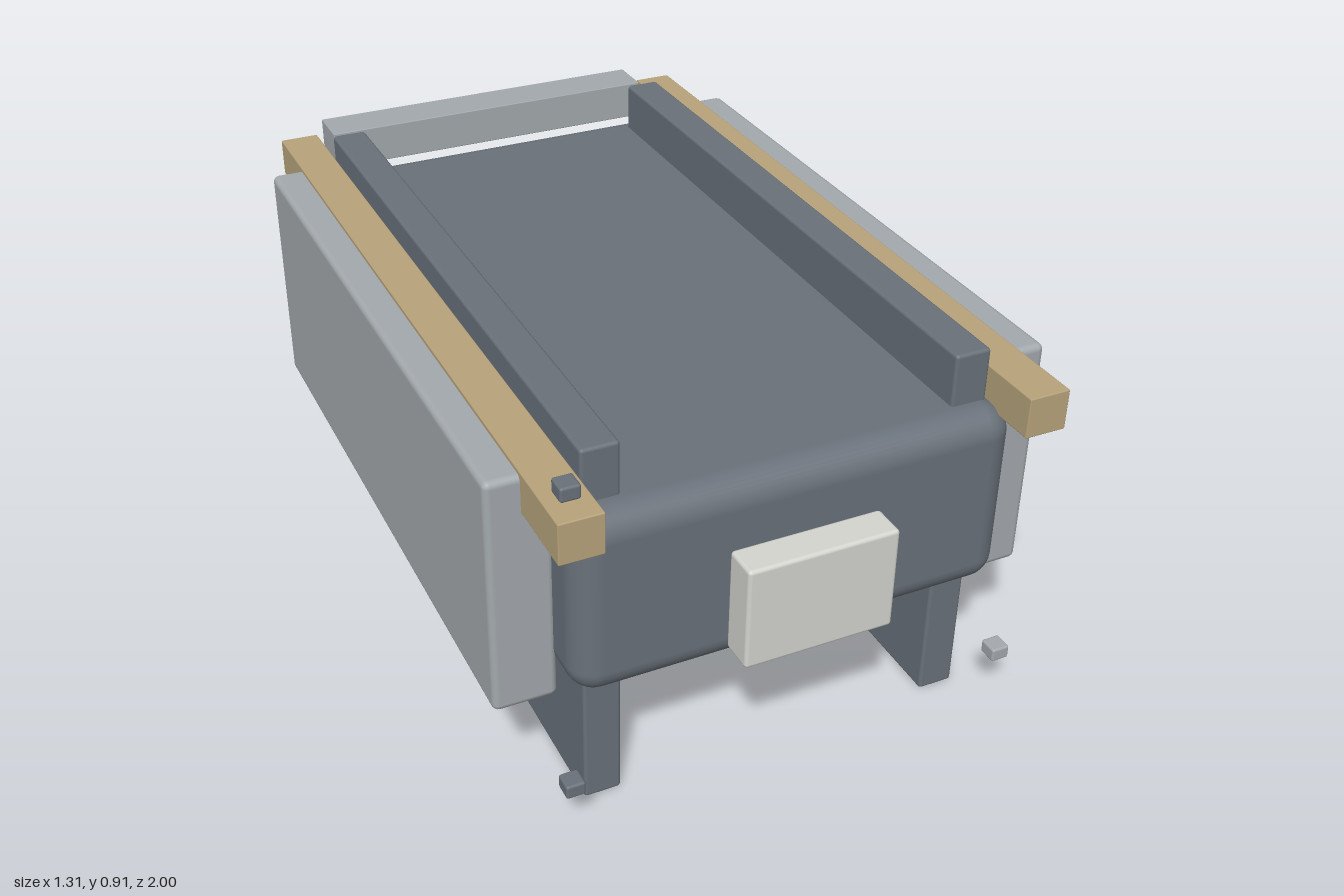
import * as THREE from 'three';
import { RoundedBoxGeometry } from 'three/addons/geometries/RoundedBoxGeometry.js';

const dark = new THREE.MeshStandardMaterial({ color: 0x69717a });
const light = new THREE.MeshStandardMaterial({ color: 0xa3a9ad });
const tan = new THREE.MeshStandardMaterial({ color: 0xb8a47c });
const pale = new THREE.MeshStandardMaterial({ color: 0xd4d5cf });

// Box between two limits on each axis, with optionally rounded edges
function block(name, material, [x0, x1], [y0, y1], [z0, z1], radius = 0, segments = 2) {
  const size = [x1 - x0, y1 - y0, z1 - z0];
  const geometry = radius
    ? new RoundedBoxGeometry(...size, segments, radius)
    : new THREE.BoxGeometry(...size);
  const mesh = new THREE.Mesh(geometry, material);
  mesh.name = name;
  mesh.position.set((x0 + x1) / 2, (y0 + y1) / 2, (z0 + z1) / 2);
  return mesh;
}

export function createModel() {
  const model = new THREE.Group();
  model.name = 'model';

  // Rounded main body
  model.add(block('body', dark, [-0.518, 0.518], [0.335, 0.787], [-0.89, 0.91], 0.065, 4));

  // Paired slabs, side panels and rails
  for (const [side, s] of [['left', 1], ['right', -1]]) {
    const span = (a, b) => (s > 0 ? [a, b] : [-b, -a]);
    model.add(
      block(side + 'Runner', dark, span(0.387, 0.474), [0, 0.912], [-0.82, 0.84], 0.008),
      block(side + 'SidePanel', light, span(0.51, 0.657), [0.27, 0.852], [-0.776, 0.79], 0.016),
      block(side + 'Rail', tan, span(0.481, 0.58), [0.764, 0.861], [-0.965, 0.98], 0.003, 1)
    );

    // Small pegs near the front corners and under the panels
    const pegMaterial = s > 0 ? light : dark;
    const pegX = span(0.511, 0.556);
    model.add(
      block(side + 'LowerPeg', pegMaterial, pegX, [0.113, 0.147], [0.89, 0.937], 0.006),
      block(side + 'PanelPeg', pegMaterial, pegX, [0.263, 0.297], [0.482, 0.53], 0.006)
    );
  }
  model.add(block('upperPeg', dark, [-0.556, -0.511], [0.873, 0.907], [0.89, 0.937], 0.006));

  // Front plate and rear crossbar
  model.add(
    block('frontPlate', pale, [-0.178, 0.176], [0.384, 0.635], [0.915, 1], 0.009),
    block('rearBar', light, [-0.455, 0.452], [0.787, 0.887], [-1, -0.885], 0.003, 1)
  );
  return model;
}
